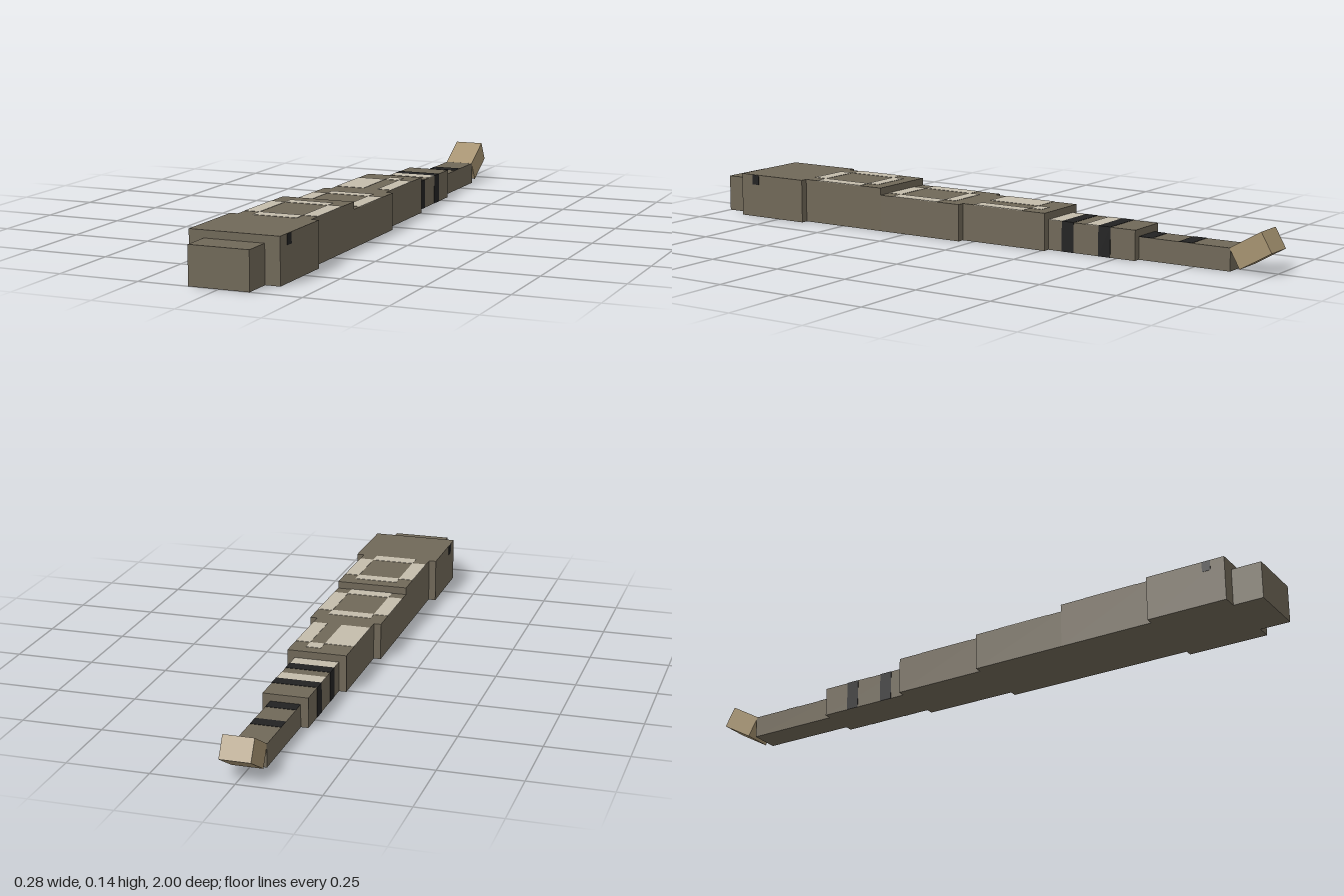
import * as THREE from 'three';

const material = (name, color) => {
  const m = new THREE.MeshStandardMaterial({ color });
  m.name = name;
  return m;
};

export function createModel() {
  const model = new THREE.Group();
  model.name = 'snake';
  const brown = material('brown scales', 0x706858);
  const pale = material('pale markings', 0xc4bcab);
  const black = material('black bands', 0x222222);
  const tan = material('tan rattle', 0xa59270);
  const T = 0.002; // plate thickness

  // Box given by its extents
  function box(name, mat, x0, x1, y0, y1, z0, z1) {
    const mesh = new THREE.Mesh(new THREE.BoxGeometry(x1 - x0, y1 - y0, z1 - z0), mat);
    mesh.position.set((x0 + x1) / 2, (y0 + y1) / 2, (z0 + z1) / 2);
    mesh.name = name;
    model.add(mesh);
    return mesh;
  }
  // Thin marking lying on a top surface at height y
  const topPlate = (name, mat, y, x0, x1, z0, z1) =>
    box(name, mat, x0, x1, y - T / 2, y + T / 2, z0, z1);

  // Body segments: name, half width, height, back z, front z
  const segments = [
    ['snout', 0.0935, 0.117, 0.905, 1],
    ['head', 0.14, 0.14, 0.65, 0.905],
    ['frontBody', 0.1165, 0.14, 0.346, 0.65],
    ['middleBody', 0.1165, 0.117, 0.042, 0.346],
    ['rearBody', 0.0935, 0.117, -0.26, 0.042],
    ['tailBase', 0.07, 0.0935, -0.564, -0.26],
    ['tailTip', 0.0467, 0.07, -0.868, -0.564],
  ];
  for (const [name, w, h, z0, z1] of segments) box(name, brown, -w, w, 0, h, z0, z1);

  // Raised rattle
  const rattle = box('rattle', tan, -0.0467, 0.0467, 0, 0.07, 0, 0.117);
  rattle.position.set(0, 0.069, -0.932);
  rattle.rotation.x = Math.PI / 6;

  // Ring markings on the two wide segments
  for (const [y, z] of [[0.14, 0.346], [0.117, 0.042]]) {
    topPlate('ringBack', pale, y, -0.07, 0.07, z + 0.045, z + 0.087);
    topPlate('ringFront', pale, y, -0.07, 0.07, z + 0.257, z + 0.304);
    for (const s of [-1, 1]) {
      const [a, b] = s < 0 ? [-0.1165, -0.069] : [0.069, 0.1165];
      topPlate('ringSide', pale, y, a, b, z + 0.083, z + 0.259);
    }
  }

  // Hook marking on the rear body
  topPlate('hookWide', pale, 0.117, -0.0935, 0, -0.178, 0);
  topPlate('hookNarrow', pale, 0.117, 0.0467, 0.0935, -0.178, 0);
  topPlate('hookCap', pale, 0.117, 0, 0.0467, -0.22, -0.178);

  // Pale and black bands on the tail
  for (const z of [-0.308, -0.437]) {
    topPlate('paleBand', pale, 0.0935, -0.07, 0.07, z, z + 0.047);
    topPlate('blackBand', black, 0.0935, -0.07, 0.07, z - 0.042, z);
    for (const s of [-1, 1])
      box('blackBandSide', black, s * 0.07 - T / 2, s * 0.07 + T / 2, 0, 0.0945, z - 0.042, z);
  }
  for (const z of [-0.608, -0.742])
    topPlate('tipBand', black, 0.07, -0.0467, 0.0467, z, z + 0.044);

  // Eyes
  for (const s of [-1, 1])
    box(s > 0 ? 'leftEye' : 'rightEye', black,
      s * 0.14 - T / 2, s * 0.14 + T / 2, 0.107, 0.139, 0.833, 0.86);

  return model;
}
